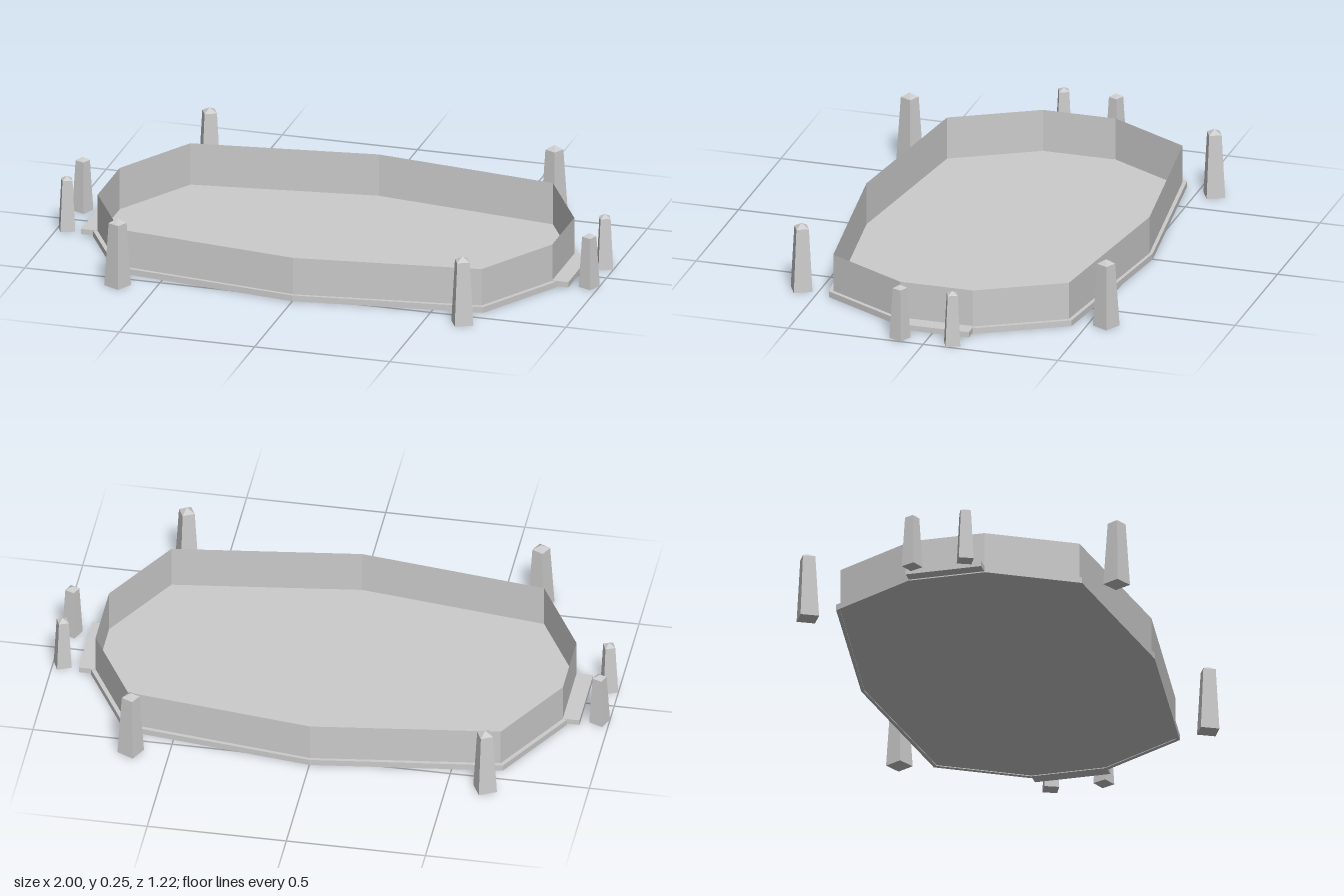
import * as THREE from 'three';

const grey = new THREE.MeshStandardMaterial({ color: 0xcccccc, flatShading: true });
const thin = new THREE.MeshStandardMaterial({ color: 0xcccccc, flatShading: true, side: THREE.DoubleSide });

// Ten-sided outline from its front-right quarter, as [x, z]
function outline(quarter) {
  const [tip, shoulder, end] = quarter;
  const half = [shoulder, end, [end[0], -end[1]], [shoulder[0], -shoulder[1]]];
  return [tip, ...half, [0, -tip[1]], ...half.map(([x, z]) => [-x, -z])]
    .map(([x, z]) => new THREE.Vector2(x, z));
}

const outer = outline([[0, 0.537], [0.68, 0.45], [0.855, 0.14]]);
const inner = outline([[0, 0.525], [0.67, 0.437], [0.84, 0.135]]);

export function createModel() {
  const model = new THREE.Group();

  function add(name, geometry, material, x = 0, y = 0, z = 0, parent = model) {
    const mesh = new THREE.Mesh(geometry, material);
    mesh.name = name;
    mesh.position.set(x, y, z);
    parent.add(mesh);
    return mesh;
  }

  // Flat floor and the low rim around the outside of the wall
  add('floor', new THREE.ShapeGeometry(new THREE.Shape(inner)).rotateX(-Math.PI / 2), thin, 0, 0.003, 0);
  const rimShape = new THREE.Shape(outer);
  rimShape.holes.push(new THREE.Path(inner));
  add('rim', new THREE.ExtrudeGeometry(rimShape, { depth: 0.022, bevelEnabled: false }).rotateX(-Math.PI / 2), grey);

  // Thin wall, one panel per side of the outline
  const wall = new THREE.Group();
  wall.name = 'wall';
  model.add(wall);
  const wallHeight = 0.16;
  inner.forEach((a, i) => {
    const b = inner[(i + 1) % inner.length];
    const panel = add('wallPanel', new THREE.PlaneGeometry(a.distanceTo(b), wallHeight), thin,
      (a.x + b.x) / 2, wallHeight / 2, (a.y + b.y) / 2, wall);
    panel.rotation.y = Math.atan2(-(b.y - a.y), b.x - a.x);
  });

  // Line markings on the floor
  add('centreRing', new THREE.RingGeometry(0.135, 0.14, 8).rotateX(-Math.PI / 2), thin, 0, 0.005, 0);
  for (const s of [-1, 1]) {
    const arc = new THREE.RingGeometry(0.132, 0.14, 4, 1, s * Math.PI / 2, Math.PI).rotateX(-Math.PI / 2);
    add('goalArc', arc, thin, s * 0.843, 0.005, 0);
    // Sill outside each end
    add('sill', new THREE.BoxGeometry(0.06, 0.02, 0.276), grey, s * 0.87, 0.014, 0);
  }

  // Tapered square pillar with a pyramid cap
  function pillar(name, x, z, base, top, shoulder, height, turn) {
    const profile = [[0, 0], [base, 0], [top, shoulder], [0, height]]
      .map(([w, y]) => new THREE.Vector2(w / Math.SQRT2, y));
    const geometry = new THREE.LatheGeometry(profile, 4).rotateY(Math.PI / 4);
    add(name, geometry, grey, x, 0, z).rotation.y = turn;
  }
  for (const sx of [-1, 1]) {
    for (const sz of [-1, 1]) {
      pillar('cornerPillar', sx * 0.637, sz * 0.565, 0.067, 0.045, 0.236, 0.253, sx * sz * 0.47);
      pillar('endPillar', sx * 0.965, sz * 0.097, 0.053, 0.036, 0.19, 0.203, -sx * sz * 0.4);
    }
  }
  return model;
}
